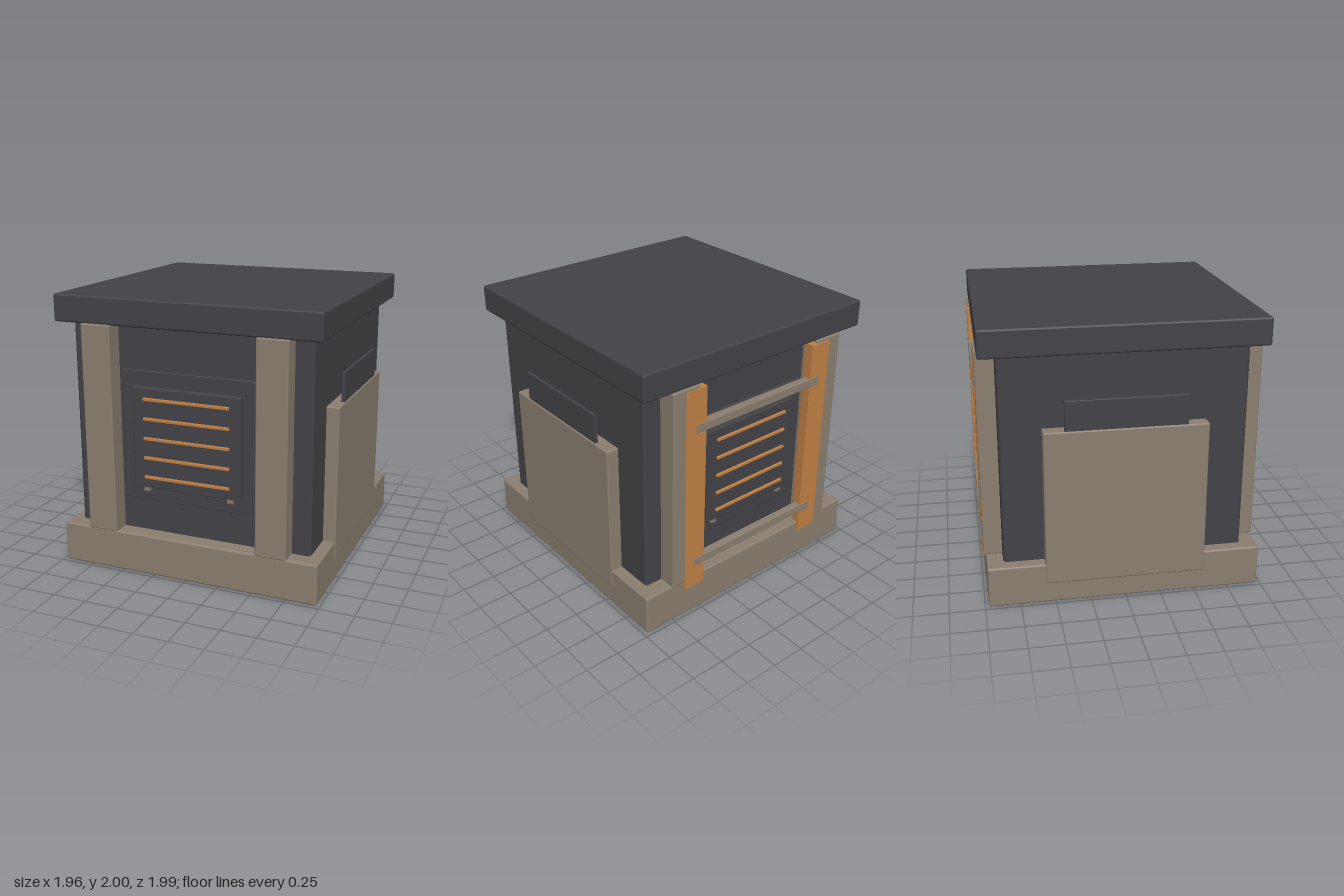
import * as THREE from 'three';
import { RoundedBoxGeometry } from 'three/addons/geometries/RoundedBoxGeometry.js';

const material = (name, color) => {
  const m = new THREE.MeshStandardMaterial({ color });
  m.name = name;
  return m;
};

export function createModel() {
  const dark = material('charcoal', 0x434247);
  const stone = material('taupe', 0x8a7e6f);
  const copper = material('copper', 0xc08044);
  const model = new THREE.Group();
  model.name = 'utilityBlock';

  // Softly bevelled box given by its limits on each axis
  function box(parent, name, mat, [x0, x1], [y0, y1], [z0, z1], r = 0.01) {
    const geo = r > 0
      ? new RoundedBoxGeometry(x1 - x0, y1 - y0, z1 - z0, 2, r)
      : new THREE.BoxGeometry(x1 - x0, y1 - y0, z1 - z0);
    const mesh = new THREE.Mesh(geo, mat);
    mesh.name = name;
    mesh.position.set((x0 + x1) / 2, (y0 + y1) / 2, (z0 + z1) / 2);
    parent.add(mesh);
    return mesh;
  }

  // Plinth, core and roof slab
  box(model, 'base', stone, [-0.975, 0.975], [0, 0.3], [-0.975, 0.975], 0.015);
  box(model, 'body', dark, [-0.89, 0.89], [0.25, 1.85], [-0.857, 0.857], 0.025);
  box(model, 'roof', dark, [-0.975, 0.975], [1.805, 2], [-0.975, 0.975], 0.015);

  // Pillars and louvred vent, the same on front and back
  function facade(name) {
    const g = new THREE.Group();
    g.name = name;
    for (const s of [-1, 1]) {
      const c = s * 0.645;
      box(g, 'pillar', stone, [c - 0.112, c + 0.112], [0.297, 1.81], [0.84, 0.99]);
      const h = s * 0.32;
      for (const d of [-0.012, 0.012])
        box(g, 'ventHinge', stone, [h + d - 0.009, h + d + 0.009], [0.615, 0.655], [0.87, 0.91], 0.003);
    }
    box(g, 'ventFrame', dark, [-0.507, 0.507], [0.54, 1.49], [0.84, 0.88], 0.006);
    box(g, 'ventPanel', dark, [-0.405, 0.405], [0.65, 1.38], [0.86, 0.92], 0.006);
    for (let i = 0; i < 5; i++) {
      const y = 0.73 + i * 0.1425;
      box(g, 'ventSlat', copper, [-0.322, 0.322], [y - 0.011, y + 0.011], [0.91, 0.935], 0.004);
    }
    model.add(g);
    return g;
  }
  facade('frontFacade');
  const back = facade('backFacade');
  back.rotation.y = Math.PI;

  // Ladder fixed to the back pillars
  const ladder = new THREE.Group();
  ladder.name = 'ladder';
  for (const s of [-1, 1]) {
    const c = s * 0.567;
    box(ladder, 'ladderRail', copper, [c - 0.085, c + 0.085], [0.23, 1.79], [-0.994, -0.92], 0.003);
  }
  for (const y of [0.435, 1.5])
    box(ladder, 'ladderRung', stone, [-0.57, 0.57], [y - 0.032, y + 0.032], [-0.998, -0.94], 0.004);
  model.add(ladder);

  // Side slabs with a thin upright plate behind each
  for (const s of [-1, 1]) {
    const span = (a, b) => (s > 0 ? [a, b] : [-b, -a]);
    box(model, 'sideSlab', stone, span(0.87, 0.981), [0.15, 1.285], [-0.57, 0.57], 0.012);
    box(model, 'sidePlate', dark, span(0.948, 0.973), [1.2, 1.497], [-0.423, 0.423], 0.004);
  }
  return model;
}
